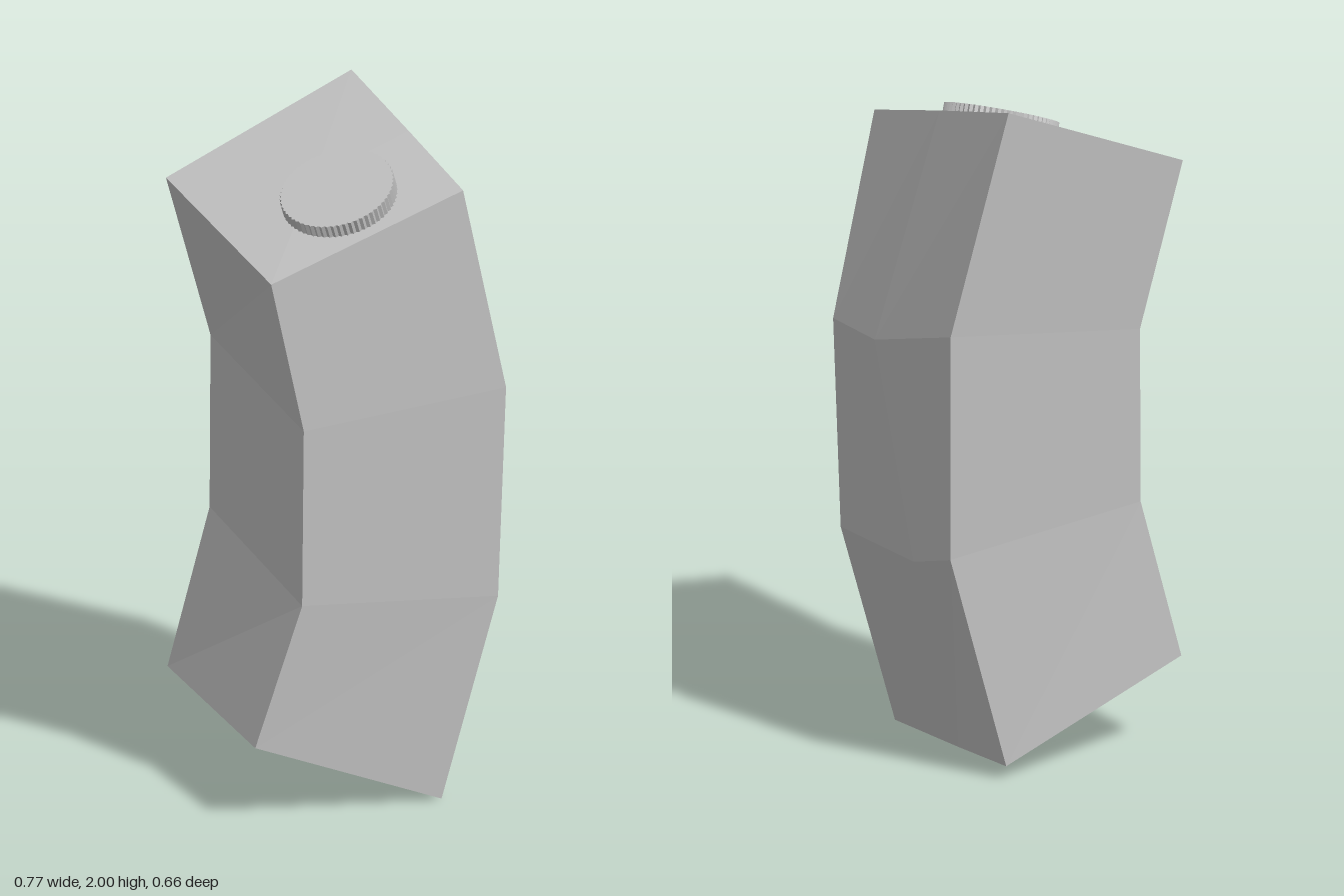
import * as THREE from 'three';

// Cross-sections from bottom to top, counterclockwise seen from above:
// front right-hand edge, front, side crease, back, back right-hand edge
const RINGS = [
  [[-0.385, 0.24, 0.305], [0.195, 0, 0.305], [0.197, 0.02, -0.05], [0.2, 0.04, -0.325], [-0.38, 0.275, -0.325]],
  [[-0.25, 0.66, 0.33], [0.36, 0.6, 0.33], [0.367, 0.615, -0.09], [0.37, 0.68, -0.3], [-0.26, 0.75, -0.3]],
  [[-0.245, 1.19, 0.33], [0.385, 1.23, 0.33], [0.383, 1.23, 0.1], [0.372, 1.35, -0.305], [-0.255, 1.27, -0.305]],
  [[-0.34, 1.645, 0.315], [0.26, 1.84, 0.31], [0.228, 1.92, 0], [0.195, 2, -0.33], [-0.385, 1.76, -0.325]],
];

// Closed faceted solid through the cross-sections
function loft(rings) {
  const pos = [];
  const tri = (a, b, c) => pos.push(...a, ...b, ...c);
  const n = rings[0].length;
  for (let i = 0; i < rings.length - 1; i++) {
    for (let j = 0; j < n; j++) {
      const k = (j + 1) % n;
      const a = rings[i][j], b = rings[i][k], c = rings[i + 1][k], d = rings[i + 1][j];
      tri(a, b, c);
      tri(a, c, d);
    }
  }
  // End caps, fanned from the mean of the four corners
  const centre = (r) => [0, 1, 2].map((q) => (r[0][q] + r[1][q] + r[3][q] + r[4][q]) / 4);
  const low = rings[0], high = rings[rings.length - 1];
  const cl = centre(low), ch = centre(high);
  for (let j = 0; j < n; j++) {
    const k = (j + 1) % n;
    tri(cl, low[k], low[j]);
    tri(ch, high[j], high[k]);
  }
  const g = new THREE.BufferGeometry();
  g.setAttribute('position', new THREE.Float32BufferAttribute(pos, 3));
  g.computeVertexNormals();
  return g;
}

export function createModel() {
  const model = new THREE.Group();
  model.name = 'bentBlock';
  const grey = new THREE.MeshStandardMaterial({ color: 0xbfbfbf });
  grey.name = 'grey';

  // Curved four-sided body
  const body = new THREE.Mesh(loft(RINGS), grey);
  body.name = 'body';
  model.add(body);

  // Round knob with a finely ridged rim, square to the sloping top
  const teeth = 60, radius = 0.167;
  const outline = [];
  for (let i = 0; i < teeth * 2; i++) {
    const a = (i / (teeth * 2)) * Math.PI * 2;
    const r = radius - (i % 2 ? 0.005 : 0);
    outline.push(new THREE.Vector2(Math.cos(a) * r, Math.sin(a) * r));
  }
  const sink = 0.02, height = 0.045;
  const knob = new THREE.Mesh(
    new THREE.ExtrudeGeometry(new THREE.Shape(outline), { depth: height + sink, bevelEnabled: false }),
    grey
  );
  knob.name = 'knob';
  const [fl, fr, , br, bl] = RINGS[3].map((p) => new THREE.Vector3(...p));
  const normal = br.sub(fl).clone().cross(bl.sub(fr)).normalize();
  knob.quaternion.setFromUnitVectors(new THREE.Vector3(0, 0, 1), normal);
  knob.position.set(-0.037, 1.79, 0.115).addScaledVector(normal, -sink);
  model.add(knob);

  return model;
}
